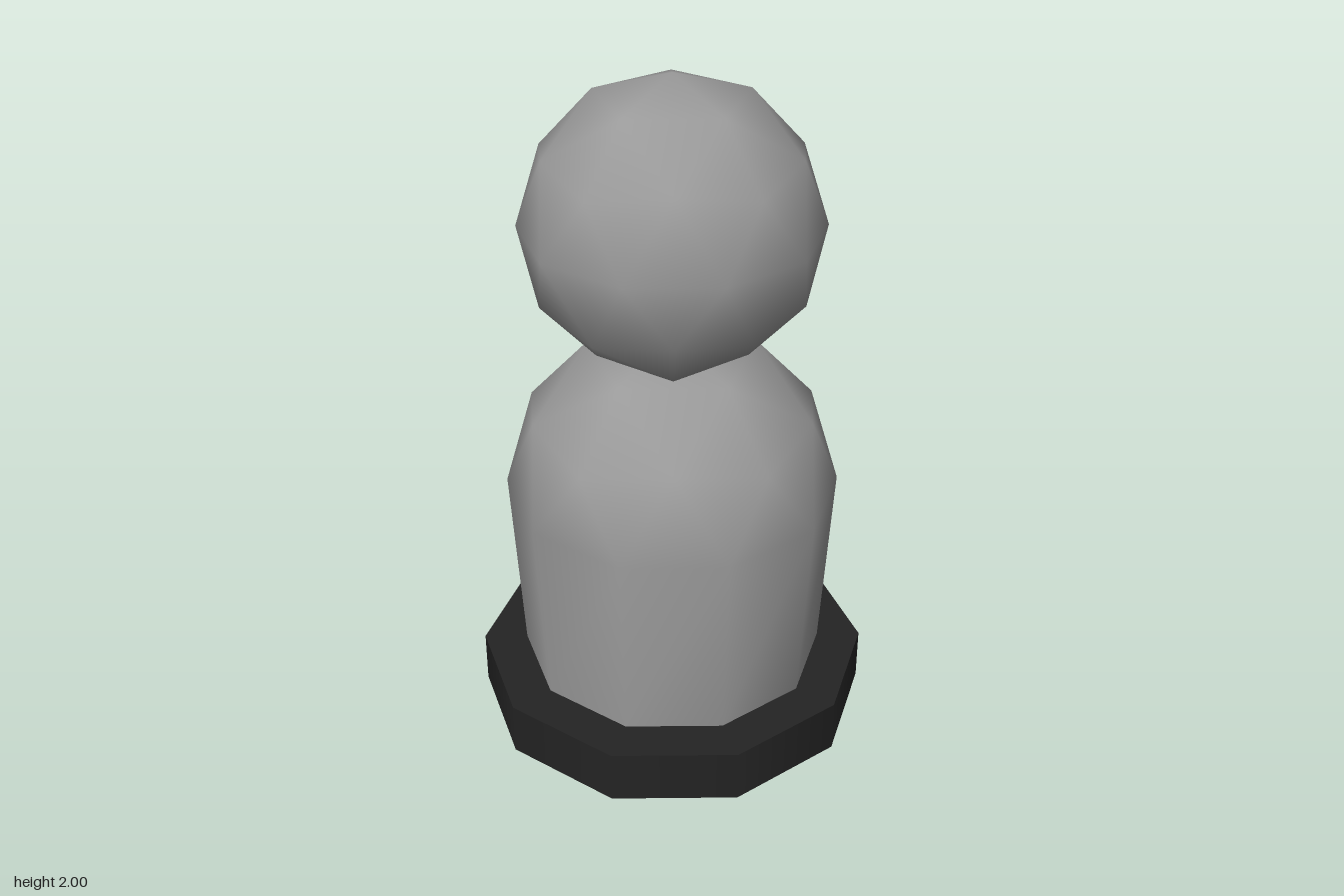
import * as THREE from 'three';
import { mergeGeometries, mergeVertices } from 'three/addons/utils/BufferGeometryUtils.js';

const SIDES = 10;

// Low-poly ball with one vertex at the top and a ten-sided equator
function ball(radius) {
  const geo = new THREE.IcosahedronGeometry(radius, 1);
  geo.rotateZ(-Math.atan(2 / (1 + Math.sqrt(5))));
  return geo;
}

// Upper half of the ball: keep only the faces above the equator
function dome(radius) {
  const p = ball(radius).getAttribute('position');
  const kept = [];
  for (let i = 0; i < p.count; i += 3) {
    if (p.getY(i) + p.getY(i + 1) + p.getY(i + 2) <= 0) continue;
    for (let k = i; k < i + 3; k++) kept.push(p.getX(k), p.getY(k), p.getZ(k));
  }
  const geo = new THREE.BufferGeometry();
  geo.setAttribute('position', new THREE.Float32BufferAttribute(kept, 3));
  return geo;
}

// Tapered wall joined smoothly to a domed shoulder
function bodyGeometry(bottomRadius, topRadius, bottomY, shoulderY) {
  const height = shoulderY - bottomY;
  const wall = new THREE.CylinderGeometry(topRadius, bottomRadius, height, SIDES, 1, true).toNonIndexed();
  wall.translate(0, -height / 2, 0);
  wall.deleteAttribute('normal');
  wall.deleteAttribute('uv');
  const geo = mergeVertices(mergeGeometries([dome(topRadius), wall]), 1e-3);
  geo.computeVertexNormals();
  return geo.translate(0, shoulderY, 0);
}

export function createModel() {
  const group = new THREE.Group();
  const grey = new THREE.MeshStandardMaterial({ color: 0x9a9a9a });
  const dark = new THREE.MeshStandardMaterial({ color: 0x242424 });

  const add = (name, geometry, material) => {
    const mesh = new THREE.Mesh(geometry, material);
    mesh.name = name;
    group.add(mesh);
    return mesh;
  };

  add('base', new THREE.CylinderGeometry(0.593, 0.593, 0.163, SIDES), dark).position.y = 0.0815;
  add('body', bodyGeometry(0.46, 0.494, 0.16, 0.75), grey);
  add('head', ball(0.431), grey).position.y = 1.569;

  return group;
}
